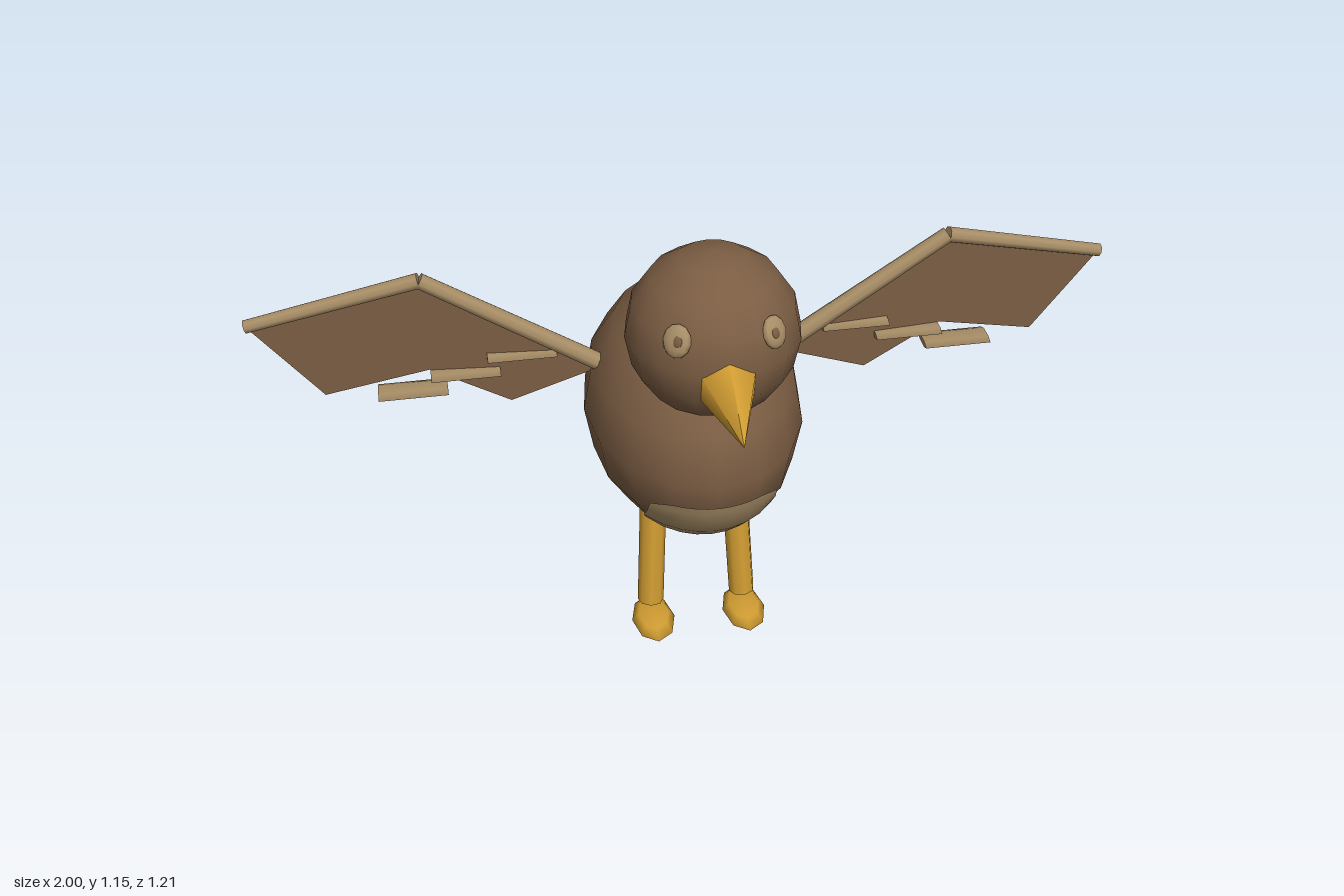
import * as THREE from 'three';

const mat = (name, color, side = THREE.FrontSide) => {
  const m = new THREE.MeshStandardMaterial({ color, side });
  m.name = name;
  return m;
};

export function createModel() {
  const bird = new THREE.Group();
  bird.name = 'bird';
  const brown = mat('brown plumage', 0x7b5d43, THREE.DoubleSide);
  const tan = mat('tan feathers', 0xa78d66, THREE.DoubleSide);
  const gold = mat('golden beak and legs', 0xd09c32);
  const V = (x, y, z) => new THREE.Vector3(x, y, z);

  const add = (name, geo, material, parent = bird) => {
    const m = new THREE.Mesh(geo, material);
    m.name = name;
    parent.add(m);
    return m;
  };
  const ellipsoid = (name, c, r, material, w = 16, h = 8) => {
    const m = add(name, new THREE.SphereGeometry(1, w, h), material);
    m.position.copy(c);
    m.scale.copy(r);
    return m;
  };
  // Tapered rod running from a to b
  const rod = (name, a, b, ra, rb, material, sides = 8) => {
    const m = add(name, new THREE.CylinderGeometry(rb, ra, a.distanceTo(b), sides), material);
    m.position.copy(a).lerp(b, 0.5);
    m.quaternion.setFromUnitVectors(V(0, 1, 0), b.clone().sub(a).normalize());
    return m;
  };

  // Body and head
  const bodyC = V(0, 0.607, 0), bodyR = V(0.255, 0.287, 0.36);
  const headC = V(0, 0.963, 0.26);
  ellipsoid('body', bodyC, bodyR, brown);
  ellipsoid('head', headC, V(0.19, 0.189, 0.19), brown);

  // Belly patch: a plane wrapped onto the body, [height, half width] per row
  const rows = [[0.555, 0.1], [0.535, 0.145], [0.5, 0.148], [0.45, 0.15],
    [0.41, 0.14], [0.39, 0.095], [0.37, 0.075], [0.352, 0.05]];
  const cols = 8;
  const patch = new THREE.PlaneGeometry(2, 1, cols, rows.length - 1);
  const p = patch.attributes.position;
  for (let i = 0; i < p.count; i++) {
    const [y, w] = rows[Math.floor(i / (cols + 1))];
    const x = p.getX(i) * w;
    const k = 1 - (x / bodyR.x) ** 2 - ((y - bodyC.y) / bodyR.y) ** 2;
    p.setXYZ(i, x, y, bodyR.z * Math.sqrt(Math.max(k, 0)) + 0.005);
  }
  patch.computeVertexNormals();
  add('bellyPatch', patch, tan);

  // Beak
  const beakGeo = new THREE.ConeGeometry(0.066, 0.18, 6);
  beakGeo.rotateX(Math.PI / 2);
  const beak = add('beak', beakGeo, gold);
  beak.position.set(0, 0.912, 0.516);
  beak.rotation.x = 0.185;

  // Tail: tapering vane with a raised central feather
  const tail = new THREE.Group();
  tail.name = 'tail';
  tail.position.set(0, 0.617, -0.305);
  tail.rotation.x = -0.27;
  bird.add(tail);
  const vane = new THREE.Shape([
    new THREE.Vector2(-0.13, 0), new THREE.Vector2(0.13, 0),
    new THREE.Vector2(0.04, 0.305), new THREE.Vector2(-0.04, 0.305)]);
  const vaneGeo = new THREE.ExtrudeGeometry(vane, { depth: 0.018, bevelEnabled: false });
  vaneGeo.rotateX(-Math.PI / 2);
  vaneGeo.translate(0, -0.009, 0);
  add('tailVane', vaneGeo, brown, tail);
  add('tailCentreFeather', new THREE.BoxGeometry(0.07, 0.026, 0.31), tan, tail)
    .position.set(0, 0, -0.155);

  for (const s of [1, -1]) {
    const side = s > 0 ? 'left' : 'right';

    // Eye: flat tan disc with a small dark pupil
    const dir = V(s * 0.1, 0.067, 0.14).normalize();
    const eye = ellipsoid(side + 'Eye', headC.clone().addScaledVector(dir, 0.186),
      V(0.032, 0.036, 0.014), tan, 10, 6);
    eye.lookAt(eye.position.clone().add(dir));
    const pupil = ellipsoid(side + 'Pupil',
      headC.clone().addScaledVector(dir, 0.198).add(V(-s * 0.006, 0, 0.002)),
      V(0.011, 0.013, 0.005), brown, 8, 6);
    pupil.lookAt(pupil.position.clone().add(dir));

    // Leg and foot
    rod(side + 'Leg', V(s * 0.1, 0.355, 0.034), V(s * 0.115, 0.06, 0.065), 0.032, 0.032, gold);
    ellipsoid(side + 'Foot', V(s * 0.114, 0.026, 0.1), V(0.053, 0.025, 0.088), gold, 8, 4);

    // Wing bones
    const W = (x, y) => V(s * x, y, -(x - 0.2) * 0.085);
    const shoulder = W(0.2, 0.725), elbow = W(0.605, 0.97), tip = W(0.995, 0.872);
    rod(side + 'InnerWingBone', shoulder, elbow, 0.022, 0.019, tan);
    rod(side + 'OuterWingBone', elbow, tip, 0.019, 0.016, tan);

    // Wing panels, two quads sharing the edge below the elbow
    const inset = W(0.6, 0.735);
    const quads = [
      [shoulder, W(0.42, 0.64), inset, elbow],
      [elbow, inset, W(0.84, 0.68), tip],
    ];
    quads.forEach((q, i) => {
      const geo = new THREE.BufferGeometry().setFromPoints(q);
      geo.setIndex(s > 0 ? [0, 1, 2, 0, 2, 3] : [0, 2, 1, 0, 3, 2]);
      geo.computeVertexNormals();
      add(side + (i ? 'OuterWingPanel' : 'InnerWingPanel'), geo, brown);
    });

    // Three flat feathers stepping down along the wing
    [[0.39, 0.765], [0.52, 0.727], [0.642, 0.69]].forEach(([x, y], i) => {
      const geo = new THREE.CylinderGeometry(1, 1, 0.158, 6);
      geo.rotateZ(Math.PI / 2);
      geo.scale(1, 0.008, 0.036);
      add(`${side}WingFeather${i + 1}`, geo, tan).position.set(s * x, y, -0.026);
    });
  }
  return bird;
}
